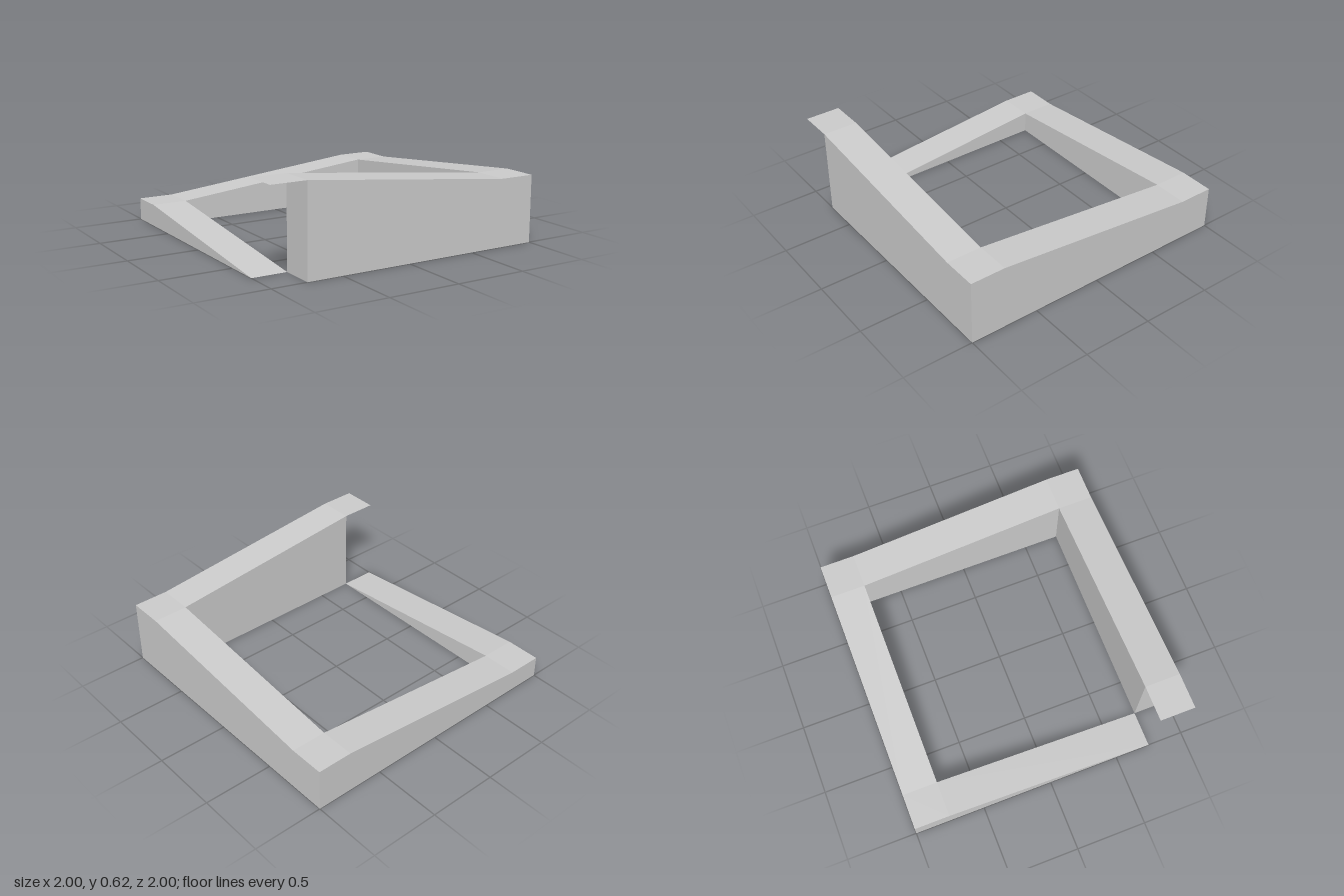
import * as THREE from 'three';

const RISE = 0.15625; // height gained along each side
const OUT = 1;        // outer half width
const INN = 0.75;     // inner half width

const grey = new THREE.MeshStandardMaterial({ color: 0xcccccc, flatShading: true });
const thinGrey = new THREE.MeshStandardMaterial({ color: 0xcccccc, flatShading: true, side: THREE.DoubleSide });

// Mesh from counter-clockwise quads, dropping corners that collapse together
function quadMesh(name, quads, material = grey) {
  const positions = [];
  for (const quad of quads) {
    const p = quad.filter((a, i) => !quad.slice(0, i).some(b => a.every((v, k) => v === b[k])));
    for (let i = 1; i < p.length - 1; i++) positions.push(...p[0], ...p[i], ...p[i + 1]);
  }
  const geometry = new THREE.BufferGeometry();
  geometry.setAttribute('position', new THREE.Float32BufferAttribute(positions, 3));
  geometry.computeVertexNormals();
  const mesh = new THREE.Mesh(geometry, material);
  mesh.name = name;
  return mesh;
}

// Points on the outer and inner face of a side that runs towards -z
const outer = (z, y) => [-OUT, y, z];
const inner = (z, y) => [-INN, y, z];

// Sloping wall, open at the ends where it joins its neighbours
function ramp(name, y0, y1, capped) {
  const s = INN, e = -INN;
  const quads = [
    [outer(s, y0), inner(s, y0), inner(e, y1), outer(e, y1)],
    [outer(e, 0), inner(e, 0), inner(s, 0), outer(s, 0)],
    [outer(e, 0), outer(s, 0), outer(s, y0), outer(e, y1)],
    [inner(s, 0), inner(e, 0), inner(e, y1), inner(s, y0)],
  ];
  if (capped) quads.push([inner(e, 0), outer(e, 0), outer(e, y1), inner(e, y1)]);
  return quadMesh(name, quads);
}

const landingTop = y => [outer(-INN, y), inner(-INN, y), inner(-OUT, y), outer(-OUT, y)];

// Level corner block
function landing(name, y) {
  return quadMesh(name, [
    landingTop(y),
    landingTop(0).reverse(),
    [outer(-OUT, 0), outer(-INN, 0), outer(-INN, y), outer(-OUT, y)],
    [inner(-OUT, 0), outer(-OUT, 0), outer(-OUT, y), inner(-OUT, y)],
  ]);
}

export function createModel() {
  const model = new THREE.Group();
  model.name = 'endlessRampSquare';

  // Four sides climb in turn around the square
  ['right', 'back', 'left', 'front'].forEach((sideName, i) => {
    const side = new THREE.Group();
    side.name = sideName + 'Side';
    side.rotation.y = -i * Math.PI / 2;
    const y0 = i * RISE, y1 = y0 + RISE;
    const last = i === 3;
    side.add(ramp(sideName + 'Ramp', y0, y1, last));
    // The last corner is only a thin plate hanging over the lowest end
    side.add(last
      ? quadMesh('overhangingPlate', [landingTop(y1)], thinGrey)
      : landing(sideName + 'Landing', y1));
    model.add(side);
  });
  return model;
}
